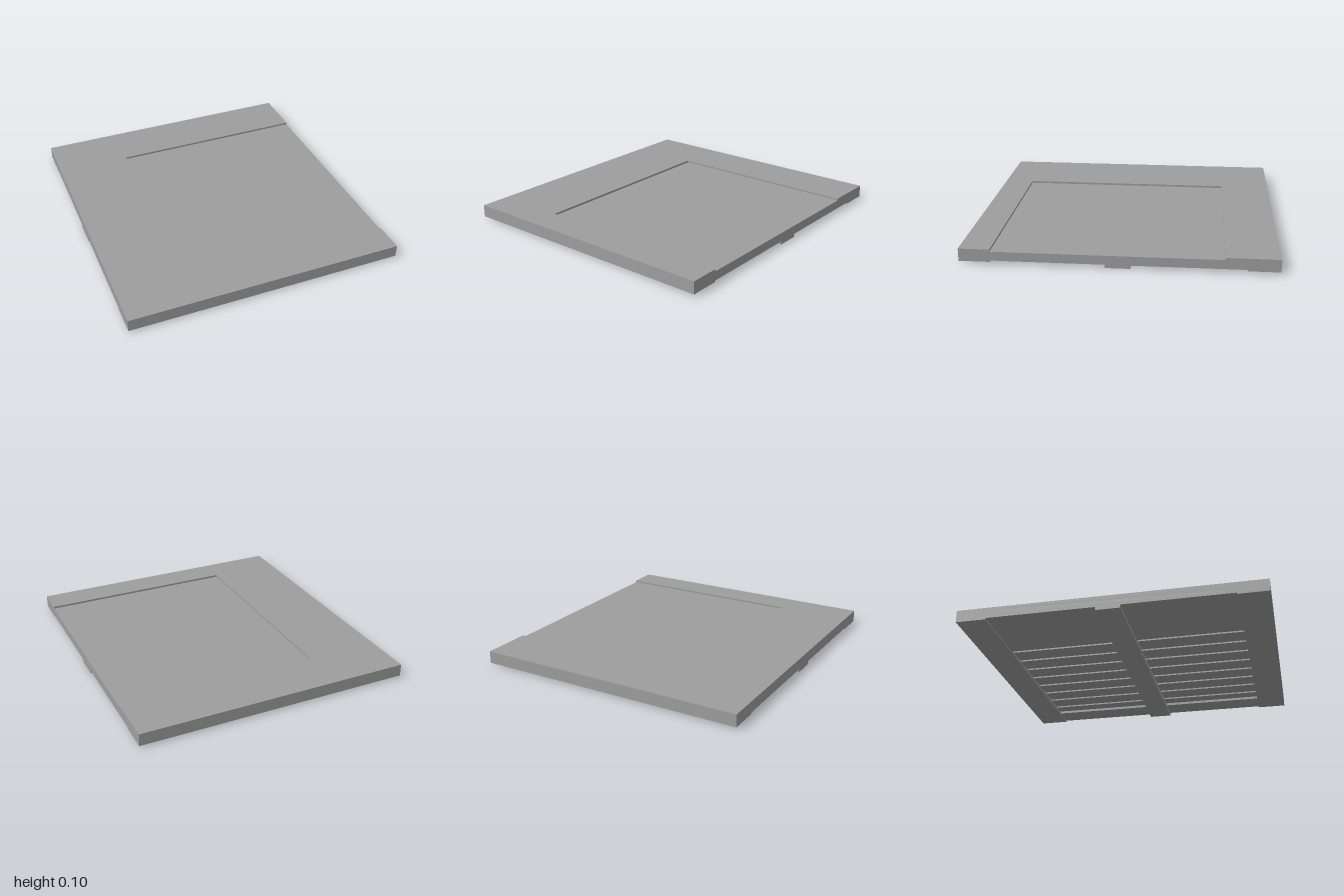
import * as THREE from 'three';

const material = new THREE.MeshStandardMaterial({ color: 0x9e9e9e, flatShading: true });
const W = 0.927;                                   // half width in x
const POCKET = { x0: -0.427, x1: 0.76, z: 0.8 };   // ribbed pocket underneath

// Horizontal layer from a plan outline of [x, z] points, between two heights
function layer(name, outline, y0, y1, hole) {
  const toPoints = (list) => list.map(([x, z]) => new THREE.Vector2(x, -z));
  const shape = new THREE.Shape(toPoints(outline));
  if (hole) shape.holes.push(new THREE.Path(toPoints(hole)));
  const geometry = new THREE.ExtrudeGeometry(shape, { depth: y1 - y0, bevelEnabled: false });
  geometry.rotateX(-Math.PI / 2).translate(0, y0, 0);
  const mesh = new THREE.Mesh(geometry, material);
  mesh.name = name;
  return mesh;
}

const rect = (x0, x1, z0, z1) => [[x0, z1], [x1, z1], [x1, z0], [x0, z0]];

export function createModel() {
  const group = new THREE.Group();
  group.name = 'slidePlate';

  // Raised border around three sides of the top recess
  group.add(layer('topBorder', [
    [-W, 1], [W, 1], [W, 0.8], [POCKET.x0, 0.8], [POCKET.x0, -0.66], [W, -0.66], [W, -1], [-W, -1],
  ], 0.082, 0.096));

  // Solid core and the lower layer with its pocket
  group.add(layer('core', rect(-W, W, -1, 1), 0.04, 0.082));
  group.add(layer('lowerFrame', rect(-W, W, -1, 1), 0.022, 0.04,
    rect(POCKET.x0, POCKET.x1, -POCKET.z, POCKET.z)));

  // Low ribs across the pocket
  const count = 8;
  const pitch = (POCKET.x1 - POCKET.x0) / count;
  for (let i = 0; i < count; i++) {
    const x = POCKET.x0 + (i + 0.5) * pitch;
    group.add(layer('rib', rect(x - pitch / 4, x + pitch / 4, -POCKET.z, POCKET.z), 0.03, 0.04));
  }

  // Side runners and the deeper centre runner
  group.add(layer('frontRunner', rect(-W, W, 0.8, 1), 0.013, 0.022));
  group.add(layer('backRunner', rect(-W, W, -1, -0.8), 0.013, 0.022));
  group.add(layer('centreRunner', rect(-W, W, -0.08, 0.08), 0, 0.04));

  return group;
}
